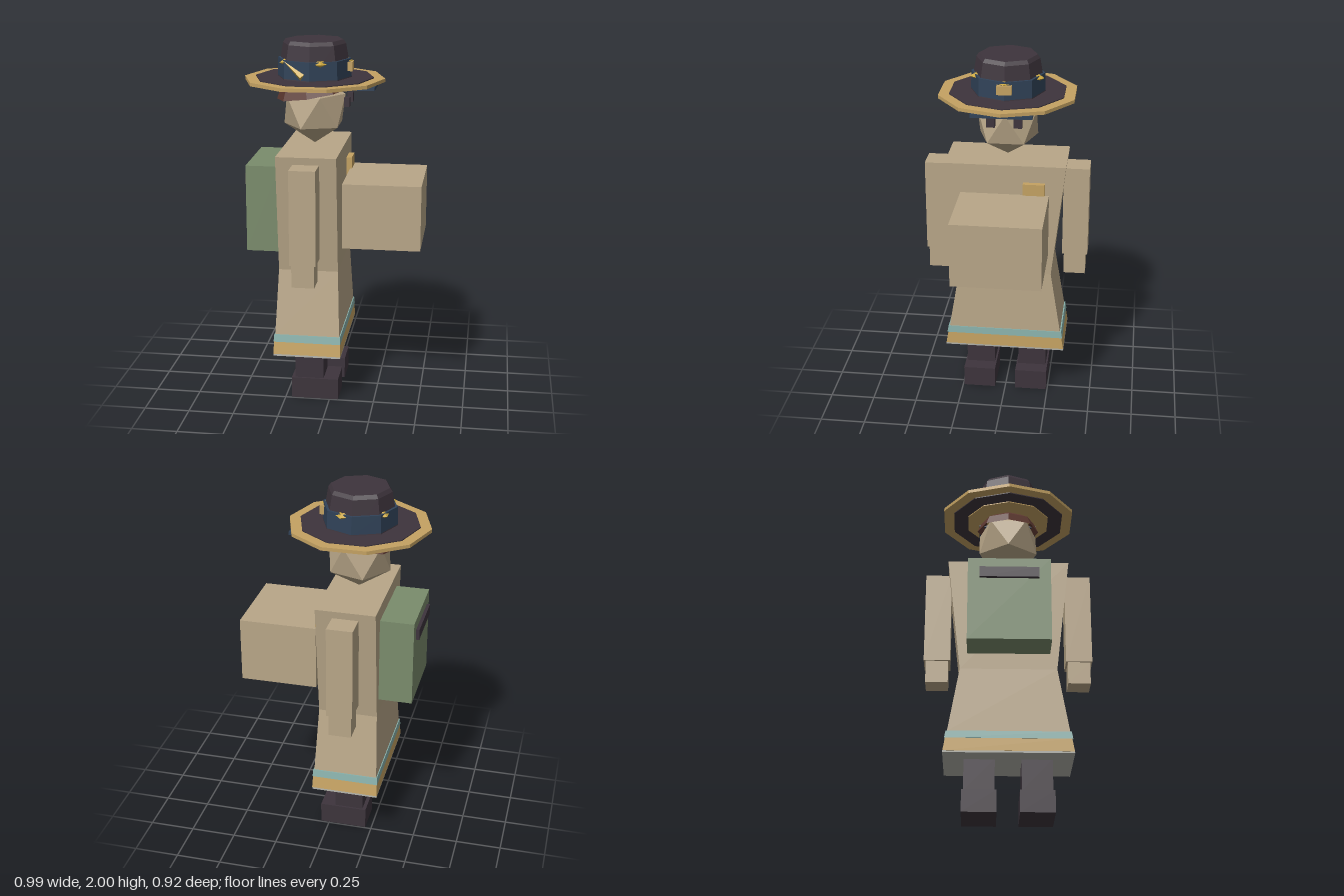
import * as THREE from 'three';

const mat = (name, color) => {
  const m = new THREE.MeshStandardMaterial({ color, flatShading: true });
  m.name = name;
  return m;
};

export function createModel() {
  const tan = mat('tan cloth', 0xb8a688);
  const gold = mat('gold trim', 0xc4a262);
  const yellow = mat('yellow cord', 0xc9a540);
  const dark = mat('dark leather', 0x3d343c);
  const green = mat('green canvas', 0x7a8c6c);
  const teal = mat('teal stripe', 0x88b0aa);
  const blue = mat('navy band', 0x304258);
  const gray = mat('gray lining', 0xb0b0a8);
  const brown = mat('brown hair', 0x5c3830);

  const model = new THREE.Group();
  model.name = 'traveller';
  const cx = -0.113; // axis of the body, which faces +x

  const add = (name, geo, material, x = 0, y = 0, z = 0, parent = model) => {
    const mesh = new THREE.Mesh(geo, material);
    mesh.name = name;
    mesh.position.set(x, y, z);
    parent.add(mesh);
    return mesh;
  };
  // box given by its limits on each axis
  const box = (name, material, x0, x1, y0, y1, z0, z1) =>
    add(name, new THREE.BoxGeometry(x1 - x0, y1 - y0, z1 - z0), material,
      (x0 + x1) / 2, (y0 + y1) / 2, (z0 + z1) / 2);
  // four-sided tapered block; half widths at the bottom and the top
  const taper = (name, material, y0, y1, bottom, top) => {
    const geo = new THREE.BoxGeometry(2, y1 - y0, 2);
    const p = geo.attributes.position;
    for (let i = 0; i < p.count; i++) {
      const [w, d] = p.getY(i) < 0 ? bottom : top;
      p.setX(i, p.getX(i) * w);
      p.setZ(i, p.getZ(i) * d);
    }
    geo.computeVertexNormals();
    return add(name, geo, material, cx, (y0 + y1) / 2, 0);
  };
  // upright prism with a corner on the x axis
  const prism = (name, material, rTop, rBottom, y0, y1, sides) => {
    const geo = new THREE.CylinderGeometry(rTop, rBottom, y1 - y0, sides);
    geo.rotateY(Math.PI / 2);
    return add(name, geo, material, cx, (y0 + y1) / 2, 0);
  };

  // coat
  taper('torso', tan, 0.77, 1.42, [0.163, 0.26], [0.163, 0.333]);
  taper('skirt', tan, 0.41, 0.77, [0.178, 0.32], [0.163, 0.26]);
  taper('tealStripe', teal, 0.37, 0.41, [0.186, 0.334], [0.183, 0.327]);
  taper('goldHem', gold, 0.3, 0.37, [0.187, 0.341], [0.184, 0.329]);
  taper('skirtLining', gray, 0.29, 0.3, [0.186, 0.342], [0.186, 0.341]);

  // limbs, mirrored across z
  for (const s of [-1, 1]) {
    const side = (name, m, x0, x1, y0, y1, a, b) =>
      box(name, m, x0, x1, y0, y1, Math.min(s * a, s * b), Math.max(s * a, s * b));
    side('leg', dark, -0.195, -0.035, 0.12, 0.295, 0.07, 0.233);
    side('boot', dark, -0.215, 0.048, 0, 0.12, 0.06, 0.243);
    side('arm', tan, -0.184, -0.042, 0.86, 1.38, 0.315, 0.458);
    side('hand', tan, -0.175, -0.052, 0.735, 0.86, 0.325, 0.447);
    side('eye', dark, 0.06, 0.09, 1.65, 1.7, 0.05, 0.096);
  }

  // luggage and badge
  box('backpack', green, -0.46, -0.275, 0.86, 1.34, -0.223, 0.223);
  box('backpackStrap', dark, -0.478, -0.46, 1.22, 1.28, -0.16, 0.16);
  box('carriedBox', tan, 0.07, 0.495, 0.9, 1.26, -0.244, 0.244);
  box('badge', gold, 0.049, 0.08, 1.22, 1.325, -0.22, -0.1);

  // head: icosahedron standing on a corner
  const headGeo = new THREE.IcosahedronGeometry(0.19, 0);
  headGeo.rotateZ(-Math.atan(2 / (1 + Math.sqrt(5))));
  add('head', headGeo, tan, cx, 1.62, 0);

  // hair cap, tipped towards the back
  const hairGeo = new THREE.SphereGeometry(0.195, 8, 3, 0, Math.PI * 2, 0, Math.PI / 2);
  hairGeo.scale(1, 0.5, 0.9);
  const hairMat = brown;
  hairMat.side = THREE.DoubleSide;
  add('hair', hairGeo, hairMat, -0.13, 1.7, 0).rotation.z = 0.16;

  // hat
  box('visor', blue, -0.1, 0.232, 1.753, 1.772, -0.163, 0.163);
  prism('brimEdge', gold, 0.385, 0.385, 1.774, 1.793, 10);
  prism('brim', dark, 0.325, 0.325, 1.769, 1.798, 10);
  prism('brimLining', gold, 0.24, 0.24, 1.764, 1.77, 10);
  prism('crown', dark, 0.172, 0.205, 1.79, 1.98, 8);
  prism('crownTop', dark, 0.158, 0.172, 1.98, 2, 8);
  prism('hatBand', blue, 0.2, 0.203, 1.795, 1.9, 8);
  box('buckle', gold, 0.07, 0.098, 1.835, 1.884, -0.04, 0.04);

  // angular cord around the hat band
  const cordGeo = new THREE.TorusGeometry(0.19, 0.02, 3, 5);
  cordGeo.rotateX(Math.PI / 2);
  add('hatCord', cordGeo, yellow, cx, 1.888, 0);

  // pin on the left of the band
  const pinHolder = new THREE.Group();
  pinHolder.name = 'hatPin';
  pinHolder.position.set(cx, 1.86, 0);
  pinHolder.rotation.y = -Math.PI / 8;
  model.add(pinHolder);
  const pin = add('pin', new THREE.ConeGeometry(0.02, 0.14, 4), yellow, -0.02, 0, 0.19, pinHolder);
  pin.rotation.z = 0.97;

  return model;
}
